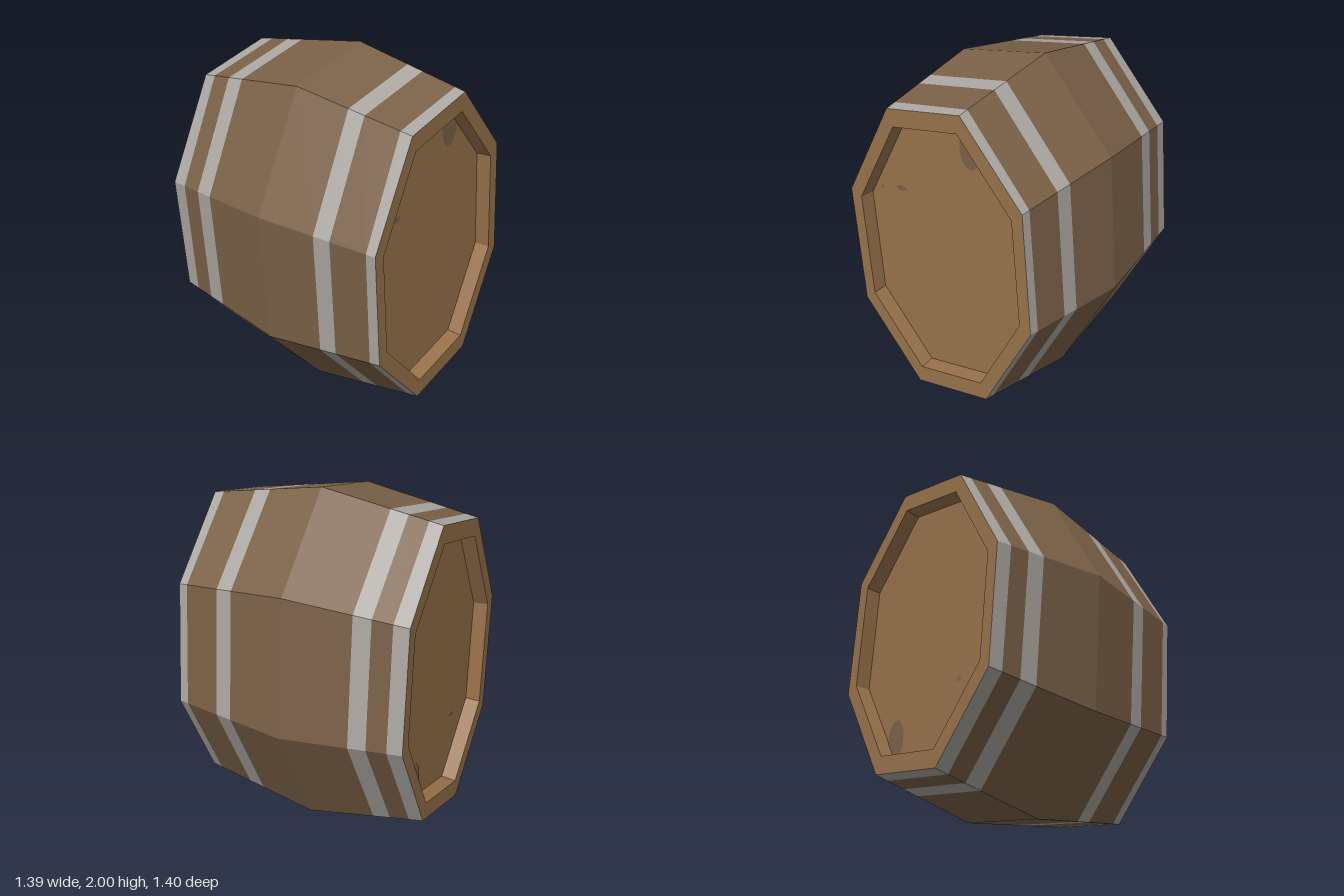
import * as THREE from 'three';

// half of the eight corners of the oval cross-section; the rest are mirrored through the centre
const half = [[0.195, 1], [0.63, 0.51], [0.695, -0.275], [0.355, -0.905]];
const corners = [...half, ...half.map(([x, y]) => [-x, -y])];
// slight unevenness of the hoop edges at each corner
const wobble = [-0.003, 0.006, 0.004, 0, 0, 0, 0.006, -0.01];

const L = 0.7, END = 0.88, RIM = 0.775, FLOOR = 0.765, FLOOR_Z = 0.615;

// a ring at a fixed scale and depth
const flatRing = (s, z) => corners.map(([x, y]) => [x * s, 1 + y * s, z]);

// a ring on the bulging side of the barrel
function sideRing(z) {
  const fixed = z === 0 || Math.abs(z) === L;
  return corners.map(([x, y], i) => {
    const zi = fixed ? z : z + wobble[i];
    const s = 1 - (1 - END) * Math.abs(zi) / L;
    return [x * s, 1 + y * s, zi];
  });
}

// flat faces between successive rings
function loft(name, rings, material) {
  const pos = [];
  for (let r = 0; r + 1 < rings.length; r++) {
    const a = rings[r], b = rings[r + 1];
    for (let i = 0; i < 8; i++) {
      const j = (i + 1) % 8;
      pos.push(...a[i], ...a[j], ...b[j], ...a[i], ...b[j], ...b[i]);
    }
  }
  const geo = new THREE.BufferGeometry();
  geo.setAttribute('position', new THREE.Float32BufferAttribute(pos, 3));
  geo.computeVertexNormals();
  const mesh = new THREE.Mesh(geo, material);
  mesh.name = name;
  return mesh;
}

export function createModel() {
  const staveWood = new THREE.MeshStandardMaterial({ color: 0x7b6148 });
  staveWood.name = 'stave wood';
  const headWood = new THREE.MeshStandardMaterial({ color: 0x97714a });
  headWood.name = 'head wood';
  const metal = new THREE.MeshStandardMaterial({ color: 0xaba7a2 });
  metal.name = 'hoop metal';

  const barrel = new THREE.Group();
  barrel.name = 'barrel';

  // staves and hoops, front to back
  const bands = [
    ['frontEndHoop', [L, 0.64], metal],
    ['frontStaves', [0.64, 0.428], staveWood],
    ['frontHoop', [0.428, 0.33], metal],
    ['middleStaves', [0.33, 0, -0.4], staveWood],
    ['backHoop', [-0.4, -0.502], metal],
    ['backStaves', [-0.502, -0.617], staveWood],
    ['backEndHoop', [-0.617, -L], metal],
  ];
  for (const [name, zs, mat] of bands) barrel.add(loft(name, zs.map(sideRing), mat));

  // recessed heads with a raised rim
  const head = [[0, FLOOR_Z], [FLOOR, FLOOR_Z], [RIM, L], [END, L]];
  barrel.add(loft('frontHead', head.map(([s, z]) => flatRing(s, z)), headWood));
  barrel.add(loft('backHead', head.map(([s, z]) => flatRing(s, -z)).reverse(), headWood));

  // dark spots on both heads: x, y, half width, half height, side
  const spots = [
    [0.17, 1.66, 0.07, 0.11, 1], [-0.31, 1.3, 0.035, 0.016, 1], [-0.45, 1.27, 0.01, 0.01, 1],
    [0.26, 0.41, 0.065, 0.11, -1], [-0.24, 0.61, 0.018, 0.013, -1],
  ];
  for (const [x, y, w, h, side] of spots) {
    const spot = new THREE.Mesh(new THREE.CircleGeometry(1, 20).scale(w, h, 1), staveWood);
    spot.name = 'woodSpot';
    spot.position.set(x, y, side * (FLOOR_Z + 0.003));
    if (side < 0) spot.rotation.y = Math.PI;
    barrel.add(spot);
  }
  return barrel;
}
